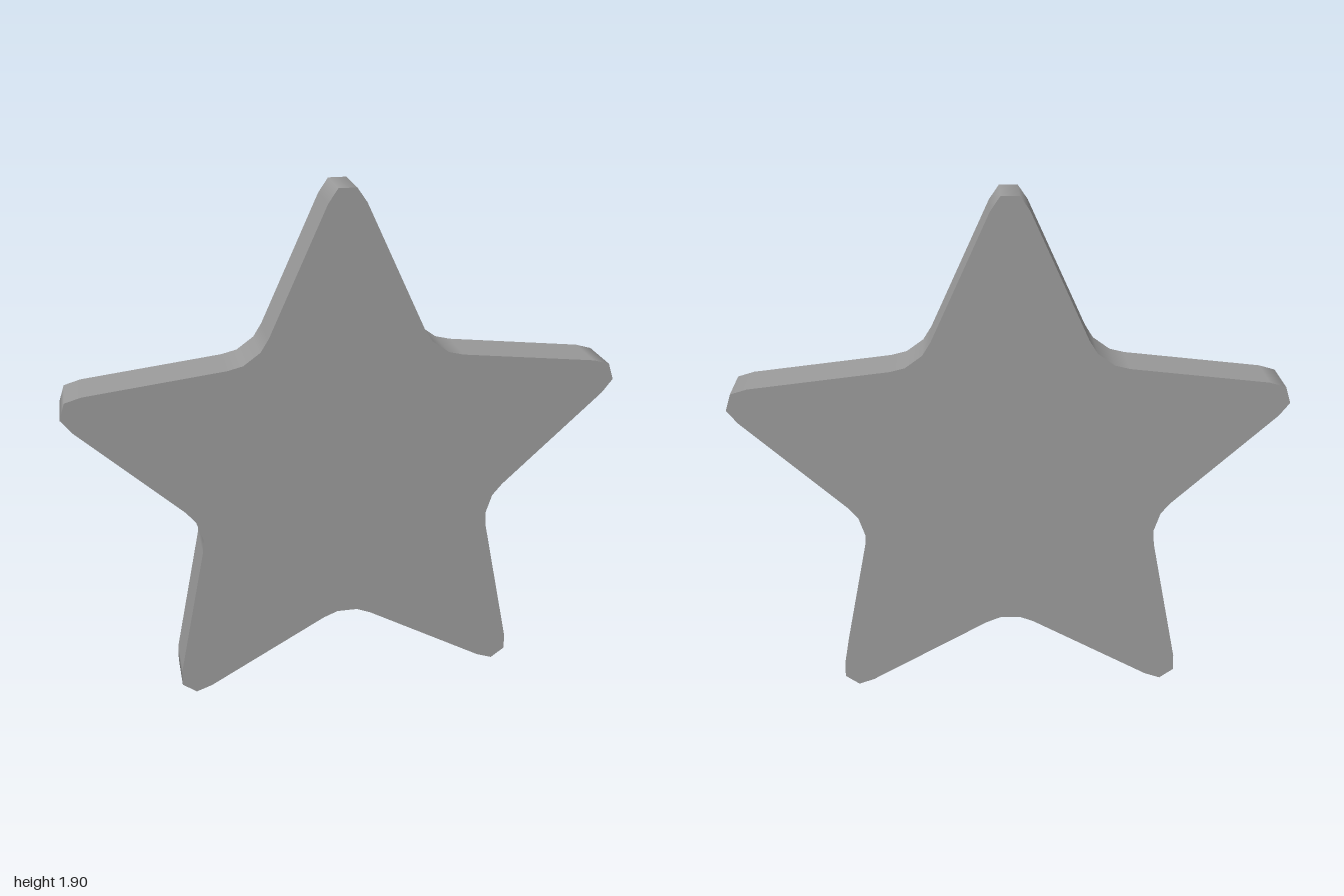
import * as THREE from 'three';

const CENTRE_Y = 0.862, HALF_DEPTH = 0.09;

// Outline of the five-pointed star, counter-clockwise, with rounded valleys and tips
function starOutline() {
  const valley = [[0.594, -0.09], [0.573, -0.038], [0.573, 0.038], [0.594, 0.09]];
  const tip = [[0.99, -0.067], [1.041, -0.032], [1.041, 0.032], [0.99, 0.067]];
  const points = [];
  const add = (corner, angle) => {
    const c = Math.cos(angle), s = Math.sin(angle);
    for (const [out, side] of corner) points.push(new THREE.Vector2(out * c - side * s, out * s + side * c));
  };
  for (let i = 0; i < 5; i++) {
    const angle = Math.PI / 2 + i * Math.PI * 2 / 5;
    add(valley, angle - Math.PI / 5);
    add(tip, angle);
  }
  return points;
}

// Smooth wall running round the outline from back to front;
// each normal is square to the line joining the neighbouring points
function rimGeometry(points) {
  const positions = [], normals = [], index = [], n = points.length;
  points.forEach((p, i) => {
    const along = points[(i + 1) % n].clone().sub(points[(i + n - 1) % n]).normalize();
    positions.push(p.x, p.y, -HALF_DEPTH, p.x, p.y, HALF_DEPTH);
    normals.push(along.y, -along.x, 0, along.y, -along.x, 0);
    const a = 2 * i, b = 2 * ((i + 1) % n);
    index.push(a, b, b + 1, a, b + 1, a + 1);
  });
  const geometry = new THREE.BufferGeometry();
  geometry.setAttribute('position', new THREE.Float32BufferAttribute(positions, 3));
  geometry.setAttribute('normal', new THREE.Float32BufferAttribute(normals, 3));
  geometry.setIndex(index);
  return geometry;
}

export function createModel() {
  const group = new THREE.Group();
  group.name = 'star';
  const material = new THREE.MeshStandardMaterial({ color: 0x9a9a9a });
  const points = starOutline();
  const add = (name, geometry) => {
    const mesh = new THREE.Mesh(geometry, material);
    mesh.name = name;
    mesh.position.y = CENTRE_Y;
    group.add(mesh);
    return mesh;
  };

  add('rim', rimGeometry(points));

  // Flat front and back faces
  const face = new THREE.ShapeGeometry(new THREE.Shape(points));
  add('frontFace', face).position.z = HALF_DEPTH;
  const back = add('backFace', face);
  back.position.z = -HALF_DEPTH;
  back.rotation.y = Math.PI;

  return group;
}
